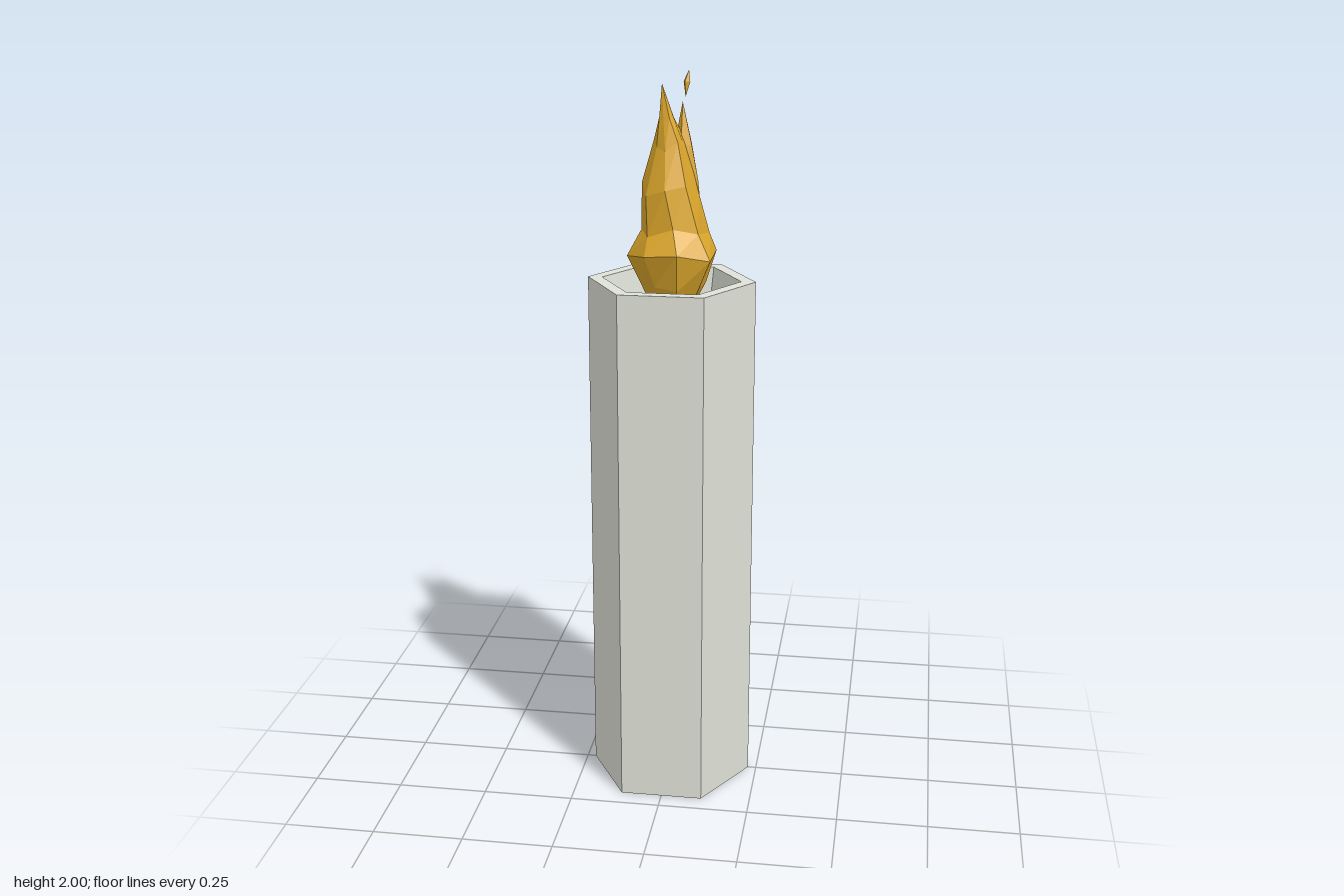
import * as THREE from 'three';

// Lofts rings [y, centreX, centreZ, radius, twist, heightWobble] into a faceted surface.
function loft(rings, sides) {
  const pos = [], index = [];
  rings.forEach(([y, cx, cz, r, twist = 0, wobble = 0], i) => {
    for (let k = 0; k < sides; k++) {
      const a = twist + (k / sides) * Math.PI * 2;
      const bump = 1 + (wobble ? 0.06 * Math.sin(k * 2.4 + i * 1.7) : 0);
      pos.push(cx + Math.cos(a) * r * bump, y + wobble * Math.sin(k * 2.1 + i), cz + Math.sin(a) * r * bump);
    }
  });
  for (let i = 0; i < rings.length - 1; i++) {
    for (let k = 0; k < sides; k++) {
      const n = (k + 1) % sides;
      const a = i * sides + k, b = i * sides + n, c = a + sides, d = b + sides;
      index.push(a, c, b, b, c, d);
    }
  }
  const g = new THREE.BufferGeometry();
  g.setAttribute('position', new THREE.Float32BufferAttribute(pos, 3));
  g.setIndex(index);
  g.computeVertexNormals();
  return g;
}

export function createModel() {
  const model = new THREE.Group();
  model.name = 'candle';
  const wax = new THREE.MeshStandardMaterial({ color: 0xdfe2d8, flatShading: true });
  const fire = new THREE.MeshStandardMaterial({ color: 0xdca72c, flatShading: true });
  const add = (name, geometry, material, parent = model) => {
    const mesh = new THREE.Mesh(geometry, material);
    mesh.name = name;
    parent.add(mesh);
    return mesh;
  };

  // Hexagonal wax body with a tapered recess in its top
  const profile = [[0, 0], [0.227, 0], [0.227, 1.455], [0.188, 1.455], [0.163, 1.3], [0, 1.3]]
    .map(([r, y]) => new THREE.Vector2(r, y));
  add('waxBody', new THREE.LatheGeometry(profile, 6, Math.PI / 2), wax);

  const flame = new THREE.Group();
  flame.name = 'flame';
  model.add(flame);

  // Main flame: bulb, shoulder and leaning tip
  add('mainFlame', loft([
    [1.3, 0, 0, 0],
    [1.31, 0, 0, 0.022, -0.2],
    [1.44, 0.008, -0.008, 0.085, -0.2, 0.006],
    [1.53, 0.006, -0.01, 0.12, -0.2, 0.012],
    [1.59, 0.006, -0.014, 0.091, -0.1, 0.014],
    [1.7, -0.007, -0.008, 0.076, 0, 0.016],
    [1.81, -0.005, -0.01, 0.042, 0.15, 0.014],
    [1.88, -0.013, -0.005, 0.02, 0.3, 0.008],
    [1.97, -0.025, -0.002, 0],
  ], 8), fire, flame);

  // Smaller tongue splitting off at the back
  add('sideTongue', loft([
    [1.62, 0.03, -0.04, 0.05, 0.3],
    [1.72, 0.028, -0.04, 0.043, 0.4],
    [1.81, 0.028, -0.038, 0.025, 0.5],
    [1.92, 0.024, -0.04, 0],
  ], 5), fire, flame);

  // Loose spark above the tongue
  add('spark', loft([
    [1.93, 0.03, -0.05, 0],
    [1.97, 0.033, -0.054, 0.01, 0.4],
    [2.0, 0.038, -0.057, 0],
  ], 4), fire, flame).scale.set(1, 1, 1);

  return model;
}
